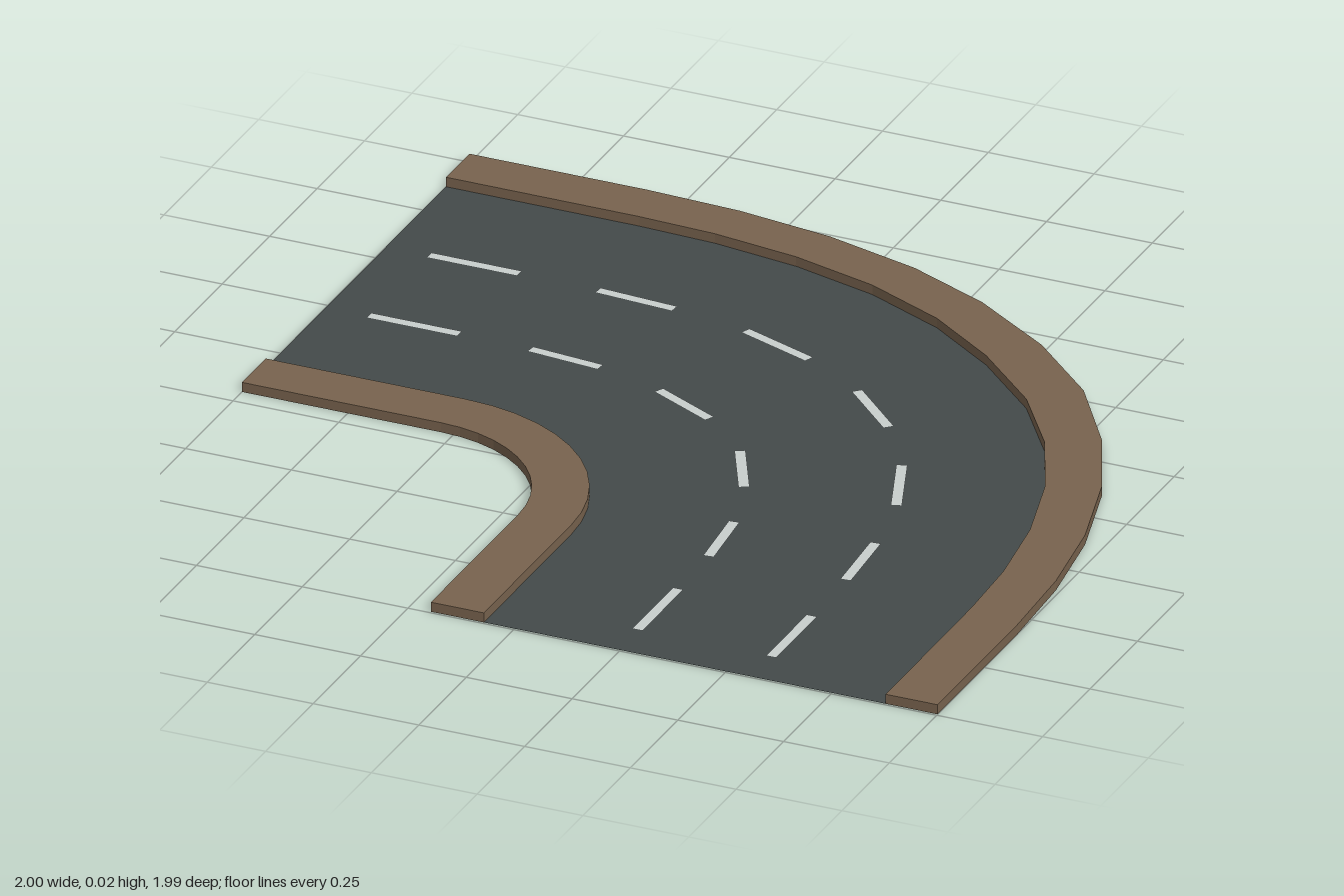
import * as THREE from 'three';

const KERB_H = 0.023;

// The bend is symmetric about a diagonal: mirror swaps its two arms.
const mirror = ([x, z]) => [0.005 - z, -0.005 - x];
const mirrored = (half) => [...half, ...half.map(mirror).reverse()];

// Inside curve: straight, quarter arc, straight.
function insideCurve(r) {
  const cx = -0.53, cz = 0.535, pts = [[-1, cz - r]];
  for (let i = 0; i <= 11; i++) {
    const a = (i / 11) * Math.PI / 2;
    pts.push([cx + r * Math.sin(a), cz - r * Math.cos(a)]);
  }
  pts.push(mirror(pts[0]));
  return pts;
}

// Faceted strip between two polylines of equal length, at heights ya and yb.
function strip(a, ya, b, yb) {
  const v = [];
  for (let i = 0; i + 1 < a.length; i++) {
    const p = [a[i][0], ya, a[i][1]], q = [a[i + 1][0], ya, a[i + 1][1]];
    const r = [b[i][0], yb, b[i][1]], s = [b[i + 1][0], yb, b[i + 1][1]];
    v.push(...p, ...r, ...q, ...q, ...r, ...s);
  }
  const g = new THREE.BufferGeometry();
  g.setAttribute('position', new THREE.Float32BufferAttribute(v, 3));
  g.computeVertexNormals();
  return g;
}

export function createModel() {
  const material = (name, color) =>
    new THREE.MeshStandardMaterial({ name, color, side: THREE.DoubleSide });
  const asphalt = material('asphalt', 0x434a4a);
  const earth = material('brown kerb', 0x78634e);
  const paint = material('white paint', 0xc8cfcd);

  const model = new THREE.Group();
  model.name = 'roadBend';
  const add = (parent, name, geometry, mat) => {
    const mesh = new THREE.Mesh(geometry, mat);
    mesh.name = name;
    parent.add(mesh);
    return mesh;
  };

  // Edges from the outside of the bend to the inside
  const outerRim = mirrored([[-1, -0.995], [-0.58, -0.995], [-0.355, -0.985],
    [-0.13, -0.953], [0.1, -0.89], [0.3, -0.8], [0.5, -0.667]]);
  const outerRoad = mirrored([[-1, -0.872], [-0.545, -0.871], [-0.36, -0.863],
    [-0.155, -0.834], [0.05, -0.778], [0.242, -0.69], [0.412, -0.571]]);
  const innerRoad = insideCurve(0.457);
  const innerRim = insideCurve(0.332);

  // Road surface
  add(model, 'roadSurface', strip(outerRoad, 0, innerRoad, 0), asphalt);

  // Kerbs: raised shells, open underneath, closed at both ends
  function kerb(name, a, b) {
    const group = new THREE.Group();
    group.name = name;
    model.add(group);
    add(group, 'kerbTop', strip(a, KERB_H, b, KERB_H), earth);
    add(group, 'kerbOutsideWall', strip(a, 0, a, KERB_H), earth);
    add(group, 'kerbInsideWall', strip(b, KERB_H, b, 0), earth);
    for (const i of [0, a.length - 1]) {
      const end = [a[i], b[i]];
      add(group, 'kerbEnd', strip(end, KERB_H, end, 0), earth);
    }
  }
  kerb('outerKerb', outerRim, outerRoad);
  kerb('innerKerb', innerRoad, innerRim);

  // Lane dashes: start and end points, mirrored to the other arm
  const outerDashes = [
    [[-0.898, -0.556], [-0.684, -0.556]],
    [[-0.497, -0.552], [-0.31, -0.539]],
    [[-0.128, -0.506], [0.053, -0.438]],
  ];
  const innerDashes = [
    [[-0.898, -0.24], [-0.684, -0.24]],
    [[-0.515, -0.236], [-0.342, -0.219]],
    [[-0.182, -0.17], [-0.027, -0.091]],
  ];
  const middleDash = [[0.209, -0.342], [0.342, -0.212]];
  function dash([[x0, z0], [x1, z1]]) {
    const g = new THREE.PlaneGeometry(Math.hypot(x1 - x0, z1 - z0), 0.024).rotateX(-Math.PI / 2);
    const mesh = add(model, 'laneDash', g, paint);
    mesh.position.set((x0 + x1) / 2, 0.002, (z0 + z1) / 2);
    mesh.rotation.y = -Math.atan2(z1 - z0, x1 - x0);
  }
  for (const d of [...outerDashes, ...innerDashes]) {
    dash(d);
    dash(d.map(mirror));
  }
  dash(middleDash);

  return model;
}
